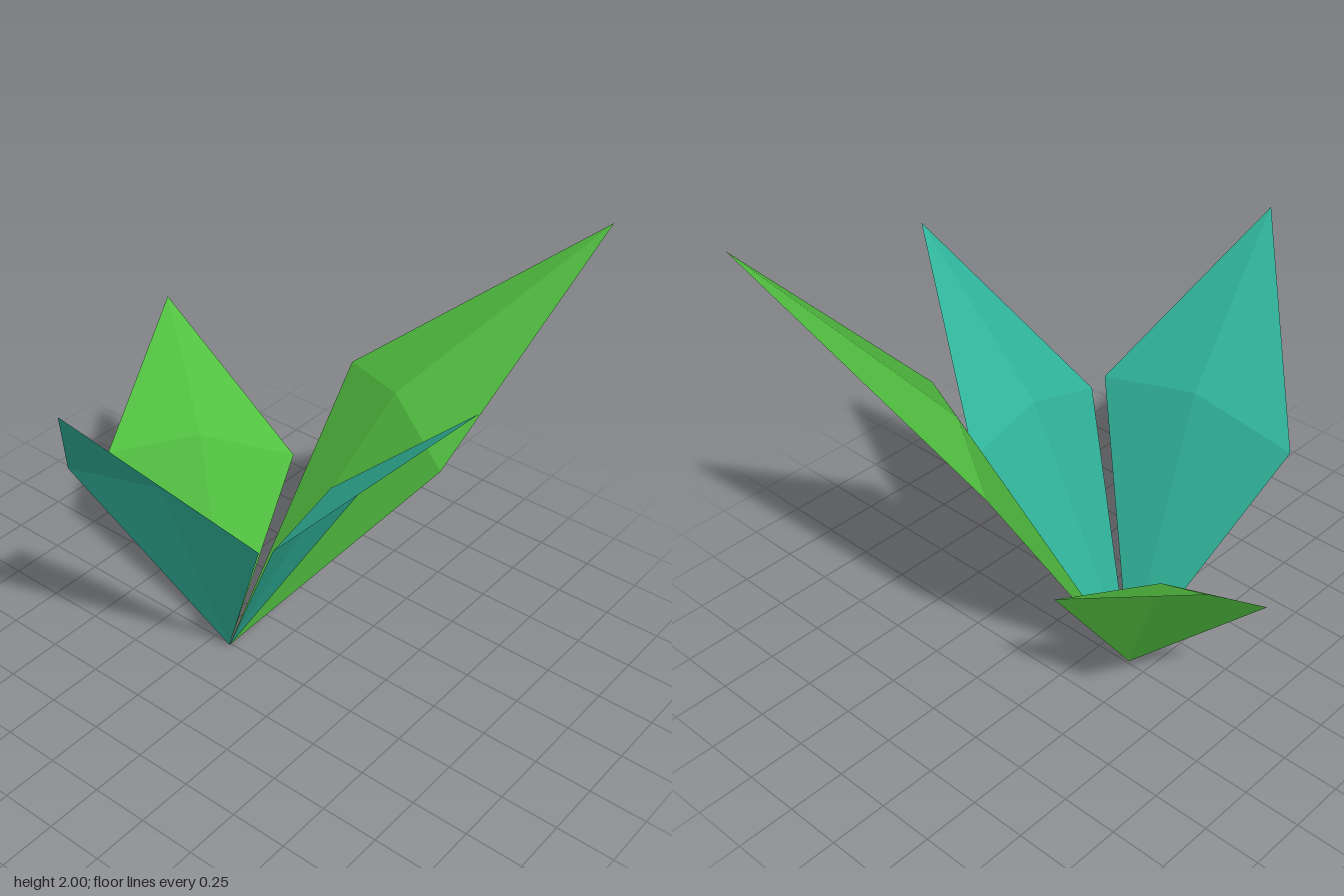
import * as THREE from 'three';

const leafMaterial = (name, color) => {
  const m = new THREE.MeshStandardMaterial({ color, flatShading: true, side: THREE.DoubleSide });
  m.name = name;
  return m;
};

// All leaves sprout from one point at the ground
const BASE = [-0.16, 0, 0.01];
const RIDGE = 0.1; // how far the middle of a leaf is raised above its side corners

// Kite-shaped leaf: four facets around a raised middle point
function makeLeaf(name, material, sideA, tip, sideB) {
  const middle = sideA.map((v, i) => (v + sideB[i]) / 2);
  middle[1] += RIDGE;
  const outline = [BASE, sideA, tip, sideB];
  const points = outline.flatMap((p, i) => [...p, ...outline[(i + 1) % 4], ...middle]);
  const geometry = new THREE.BufferGeometry();
  geometry.setAttribute('position', new THREE.Float32BufferAttribute(points, 3));
  geometry.computeVertexNormals();
  const leaf = new THREE.Mesh(geometry, material);
  leaf.name = name;
  return leaf;
}

export function createModel() {
  const green = leafMaterial('leaf green', 0x52c041);
  const teal = leafMaterial('leaf teal', 0x30b299);
  const plant = new THREE.Group();
  plant.name = 'plant';
  plant.add(
    makeLeaf('frontLeaf', teal, [-0.57, 1.03, 0.5], [-0.04, 1.75, 1], [0.36, 1.03, 0.43]),
    makeLeaf('leftLeaf', teal, [0.37, 1, 0.36], [0.99, 1.7, 0.01], [0.37, 1, -0.34]),
    makeLeaf('backLeaf', green, [0.69, 1.18, -0.25], [0.89, 2, -1], [-0.05, 1.18, -0.67]),
    makeLeaf('rightLeaf', green, [-0.23, 0.71, -0.51], [-1, 1.2, -0.56], [-0.86, 0.71, 0])
  );
  return plant;
}
